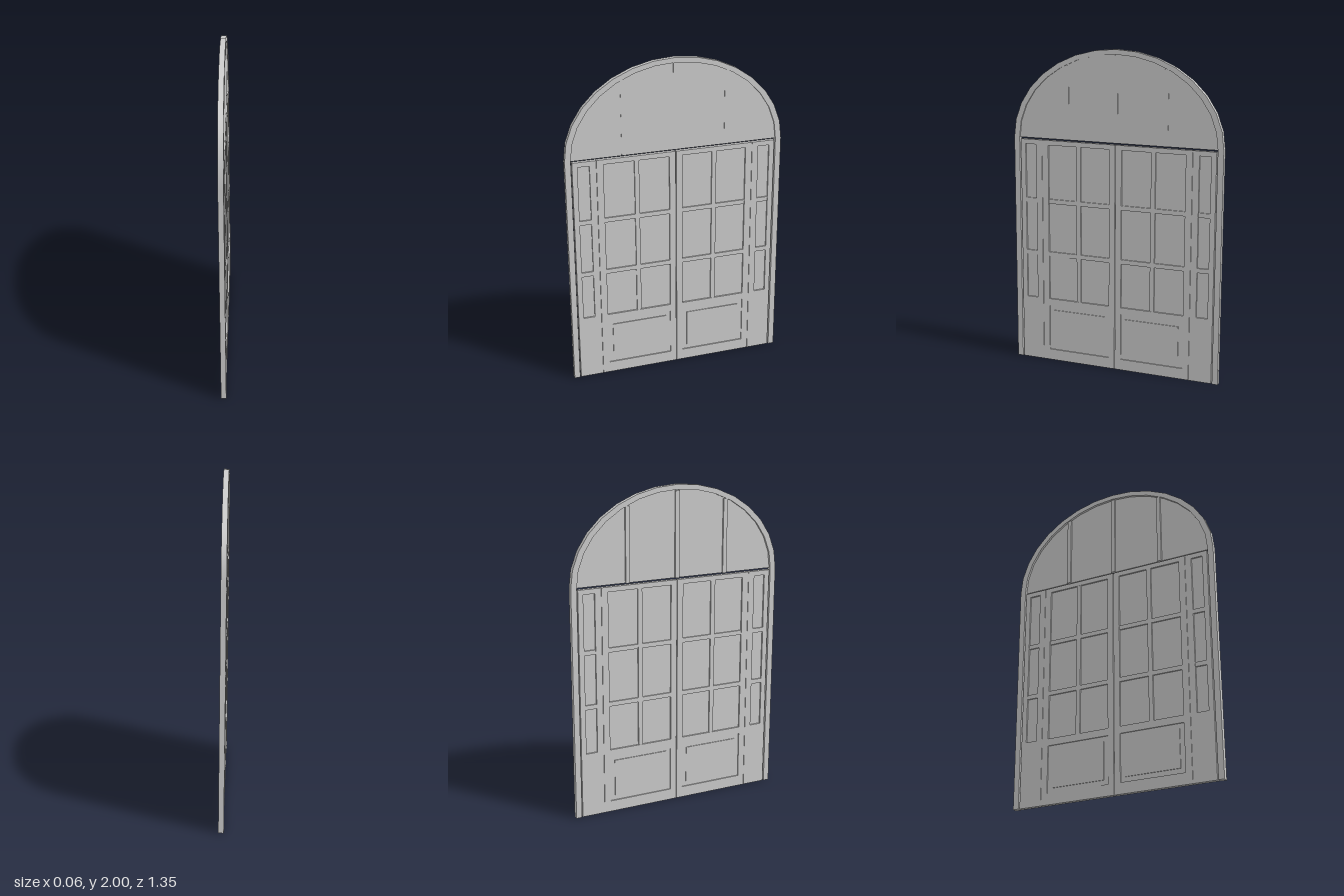
import * as THREE from 'three';
import { toCreasedNormals } from 'three/addons/utils/BufferGeometryUtils.js';

const material = new THREE.MeshStandardMaterial({ color: 0xcccccc });
const SPRING = 1.44; // height where the arch starts

// Points of half an ellipse, from right to left
function archPoints(rx, ry, y0 = SPRING, segments = 16) {
  const points = [];
  for (let i = 0; i <= segments; i++) {
    const a = (Math.PI * i) / segments;
    points.push(new THREE.Vector2(rx * Math.cos(a), y0 + ry * Math.sin(a)));
  }
  return points;
}

function rectPoints(x0, y0, x1, y1) {
  return [[x0, y0], [x1, y0], [x1, y1], [x0, y1]].map(([x, y]) => new THREE.Vector2(x, y));
}

// Flat board between two depths, with optional holes
function board(name, points, holes, z0, z1) {
  const shape = new THREE.Shape(points);
  for (const hole of holes) shape.holes.push(new THREE.Path(hole));
  const geometry = new THREE.ExtrudeGeometry(shape, { depth: z1 - z0, bevelEnabled: false });
  geometry.translate(0, 0, z0);
  const mesh = new THREE.Mesh(toCreasedNormals(geometry, 0.5), material);
  mesh.name = name;
  return mesh;
}

function box(name, x0, y0, x1, y1, z0, z1) {
  const geometry = new THREE.BoxGeometry(x1 - x0, y1 - y0, z1 - z0);
  geometry.translate((x0 + x1) / 2, (y0 + y1) / 2, (z0 + z1) / 2);
  const mesh = new THREE.Mesh(geometry, material);
  mesh.name = name;
  return mesh;
}

const GLASS = { y0: 0.41, y1: 1.4 };
const BARS = [0.705, 1.045]; // heights of the horizontal glazing bars

// Glass with its horizontal bars, shared by the doors and side lights
function addGlazing(group, x0, x1) {
  group.add(box('glass', x0, GLASS.y0, x1, GLASS.y1, -0.003, 0.003));
  for (const y of BARS) {
    group.add(box('glazingBar', x0, y - 0.014, x1, y + 0.014, -0.0115, 0.0115));
  }
}

function doorLeaf(side) {
  const leaf = new THREE.Group();
  leaf.name = side > 0 ? 'doorLeafA' : 'doorLeafB';
  const [a, b] = [0.04, 0.447];
  const s = (u, v) => (side > 0 ? [u, v] : [-v, -u]);
  const [x0, x1] = s(a, b);
  const [e0, e1] = s(0.002, 0.488);
  leaf.add(board('leafFrame', rectPoints(e0, 0, e1, 1.43), [
    rectPoints(x0, GLASS.y0, x1, GLASS.y1),
    rectPoints(x0, 0.07, x1, 0.365),
  ], -0.013, 0.013));
  addGlazing(leaf, x0, x1);
  const mid = (x0 + x1) / 2;
  leaf.add(box('verticalBar', mid - 0.014, GLASS.y0, mid + 0.014, GLASS.y1, -0.012, 0.012));
  // Lower panel with a raised field
  leaf.add(box('lowerPanel', x0, 0.07, x1, 0.365, -0.006, 0.006));
  leaf.add(box('raisedField', x0 + 0.03, 0.1, x1 - 0.03, 0.335, -0.011, 0.011));
  return leaf;
}

function sideLight(side) {
  const light = new THREE.Group();
  light.name = side > 0 ? 'sideLightA' : 'sideLightB';
  const s = (u, v) => (side > 0 ? [u, v] : [-v, -u]);
  const [x0, x1] = s(0.53, 0.602);
  const [e0, e1] = s(0.49, 0.634);
  light.add(board('sideLightFrame', rectPoints(e0, 0, e1, 1.43),
    [rectPoints(x0, GLASS.y0, x1, GLASS.y1)], -0.013, 0.013));
  addGlazing(light, x0, x1);
  return light;
}

export function createModel() {
  const door = new THREE.Group();
  door.name = 'archedDoor';

  // Outer frame: two jambs joined by the arch
  const outer = archPoints(0.677, 0.56);
  const inner = archPoints(0.641, 0.53);
  const v = (x, y) => new THREE.Vector2(x, y);
  door.add(board('outerFrame', [
    v(0.641, 0), v(0.677, 0), ...outer, v(-0.677, 0), v(-0.641, 0), ...inner.reverse(),
  ], [], -0.016, 0.016));

  // Arched window above the doors
  const fan = new THREE.Group();
  fan.name = 'archWindow';
  fan.add(board('archGlass', archPoints(0.641, 0.53), [], -0.001, 0.008));
  for (const x of [-0.32, 0, 0.32]) {
    const top = SPRING + 0.525 * Math.sqrt(1 - (x / 0.641) ** 2);
    fan.add(box('archMullion', x - 0.013, SPRING, x + 0.013, top, -0.012, 0.0095));
  }
  door.add(fan);

  for (const side of [1, -1]) door.add(doorLeaf(side), sideLight(side));

  // The door faces sideways and leans very slightly
  door.rotation.y = Math.PI / 2;
  const model = new THREE.Group();
  model.name = 'doorway';
  model.rotation.set(0, 0.0045, 0.011);
  model.position.x = 0.007;
  model.add(door);
  const root = new THREE.Group();
  root.add(model);
  return root;
}
